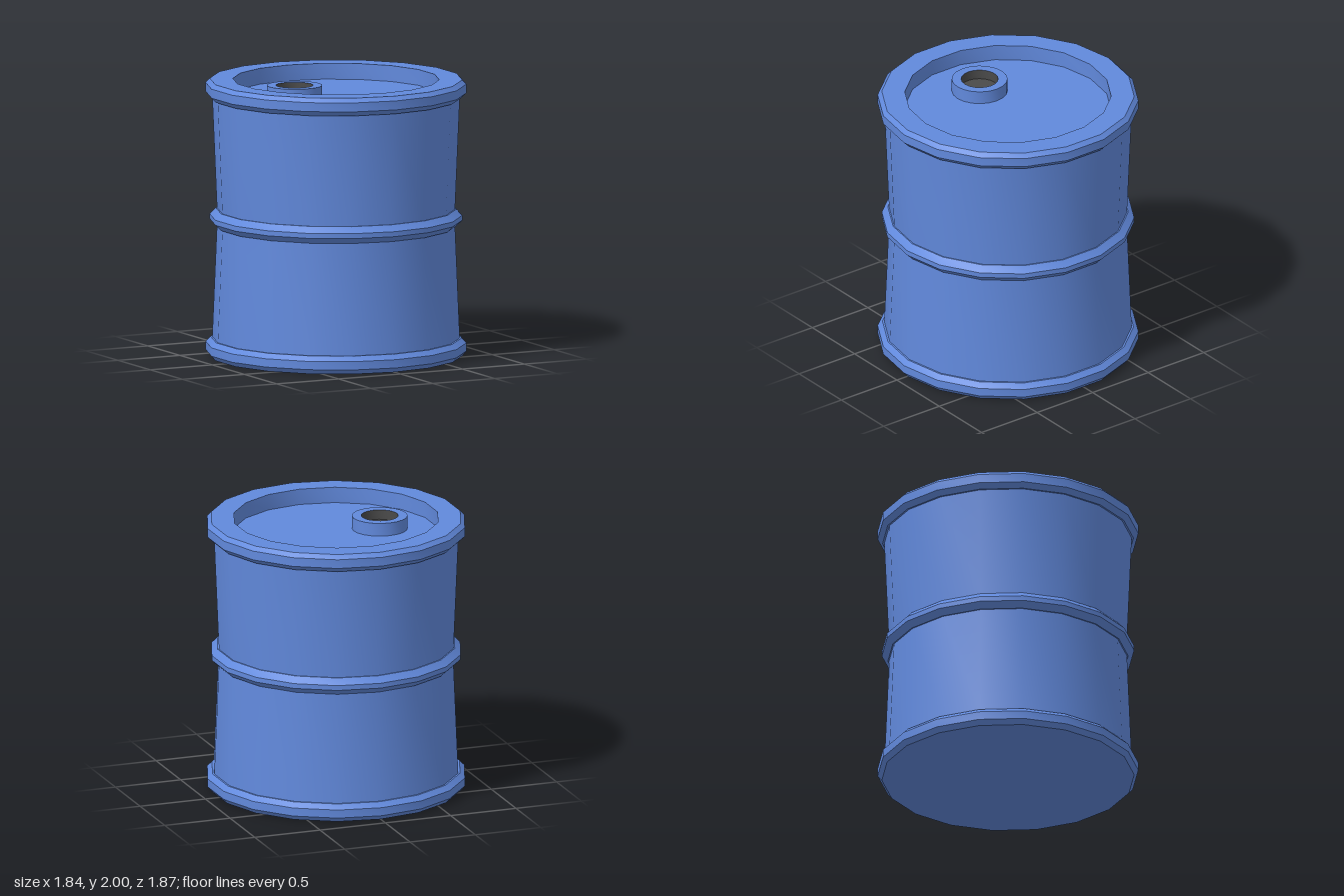
import * as THREE from 'three';
import { toCreasedNormals } from 'three/addons/utils/BufferGeometryUtils.js';

const SIDES = 18;

export function createModel() {
  const drum = new THREE.Group();
  drum.name = 'drum';
  const blue = new THREE.MeshStandardMaterial({ color: 0x6189dc });
  blue.name = 'blue paint';
  const dark = new THREE.MeshStandardMaterial({ color: 0x4a4a4a });
  dark.name = 'dark opening';

  // Turned part: profile of [radius, height], smooth around, sharp at bevels
  function turned(name, profile, material, sides = SIDES) {
    const points = profile.map(([r, y]) => new THREE.Vector2(r, y));
    const geometry = toCreasedNormals(new THREE.LatheGeometry(points, sides), 0.5);
    const mesh = new THREE.Mesh(geometry, material);
    mesh.name = name;
    drum.add(mesh);
    return mesh;
  }

  // Base and bottom rim
  turned('bottomRim', [
    [0, 0], [0.905, 0], [0.935, 0.035], [0.935, 0.095], [0.9, 0.13], [0.885, 0.13],
  ], blue);

  // Walls, drawn in slightly towards the middle
  turned('lowerWall', [[0.887, 0.13], [0.853, 0.94]], blue);
  turned('upperWall', [[0.853, 1.06], [0.887, 1.87]], blue);

  // Raised band around the middle
  turned('middleBand', [
    [0.85, 0.94], [0.862, 0.94], [0.905, 0.982], [0.905, 1.018], [0.862, 1.062], [0.85, 1.062],
  ], blue);

  // Top rim with the sunken lid
  turned('topRim', [
    [0.885, 1.87], [0.9, 1.87], [0.935, 1.905], [0.935, 1.97], [0.905, 2], [0.74, 2], [0.74, 1.885],
  ], blue);
  turned('lid', [[0.74, 1.885], [0, 1.885]], blue);

  // Filler neck with its dark opening
  const neck = turned('fillerNeck', [[0.2, 1.885], [0.2, 1.98], [0.133, 1.98]], blue, 20);
  const opening = turned('fillerOpening', [[0.133, 1.98], [0.133, 1.91], [0, 1.91]], dark, 20);
  neck.position.x = opening.position.x = -0.335;

  return drum;
}
